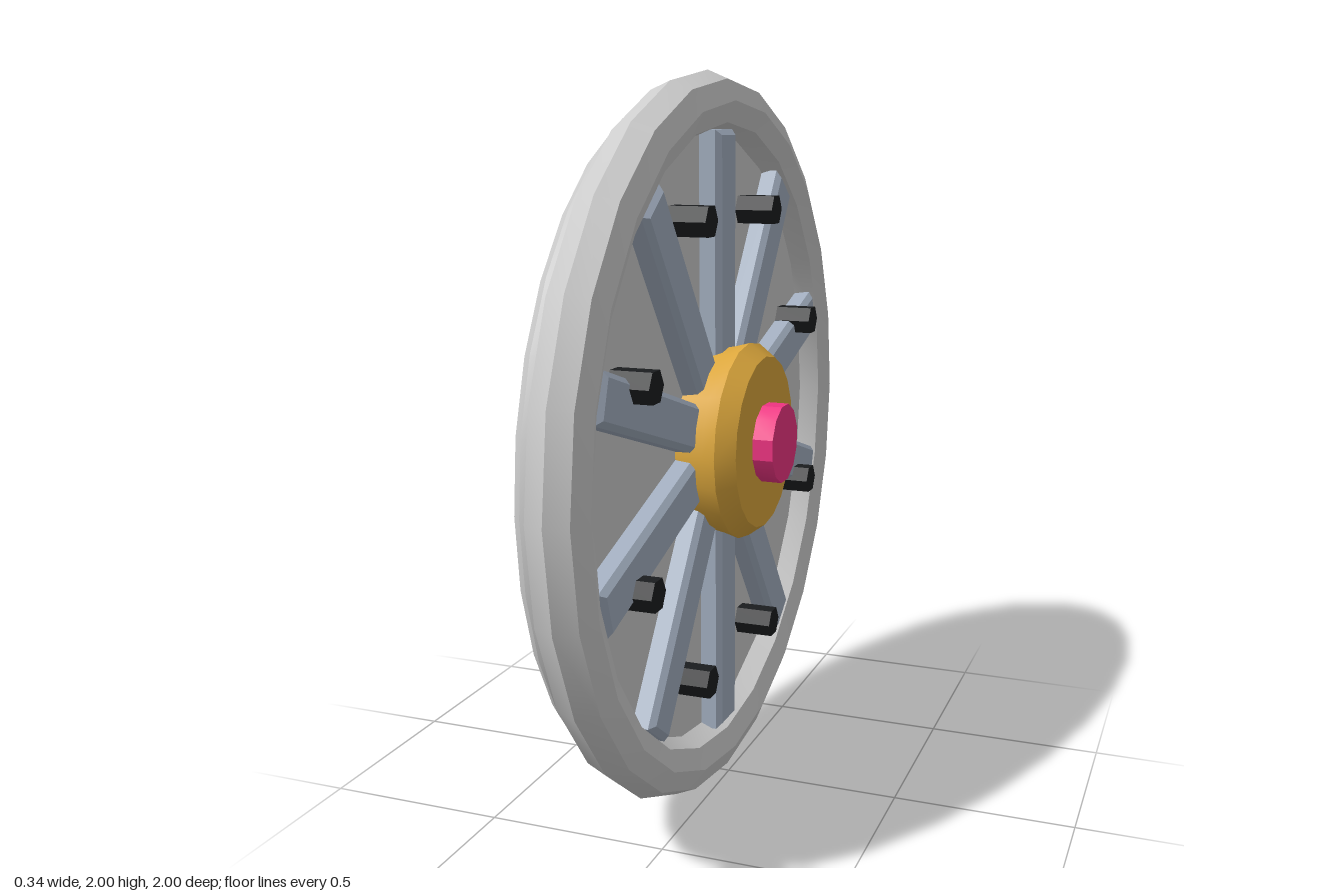
import * as THREE from 'three';
import { toCreasedNormals } from 'three/addons/utils/BufferGeometryUtils.js';

const mat = (color) => new THREE.MeshStandardMaterial({ color });

export function createModel() {
  const steel = mat(0xcccccc), blueGrey = mat(0xa3afc0), gold = mat(0xdba63c);
  const pink = mat(0xee3482), black = mat(0x1b1d1f);

  // The wheel is built facing +z, then turned so its axle points along +x
  const wheel = new THREE.Group();
  wheel.name = 'wheel';

  const add = (name, geometry, material, parent = wheel) => {
    const mesh = new THREE.Mesh(toCreasedNormals(geometry, Math.PI / 6), material);
    mesh.name = name;
    parent.add(mesh);
    return mesh;
  };
  // Turned part from [radius, depth] points, back to front
  const turned = (points, sides) =>
    new THREE.LatheGeometry(points.map(([r, d]) => new THREE.Vector2(r, d)), sides).rotateX(Math.PI / 2);

  // Rim: eight-sided ring
  add('rim', new THREE.TorusGeometry(0.92, 0.08, 8, 24), steel).position.z = -0.06;

  // Back plate with a bevelled rear edge
  add('backPlate', turned([[0, -0.17], [0.922, -0.17], [0.945, -0.145], [0.945, -0.11], [0.9, -0.06], [0, -0.06]], 32), steel);

  // Ten chamfered spokes
  const bevel = 0.015, half = 0.05;
  const outline = new THREE.Shape([
    new THREE.Vector2(-half, 0.15), new THREE.Vector2(half, 0.15),
    new THREE.Vector2(half, 0.83), new THREE.Vector2(-half, 0.83),
  ]);
  const spokeGeometry = new THREE.ExtrudeGeometry(outline, {
    depth: 0.05, bevelThickness: bevel, bevelSize: bevel, bevelSegments: 1,
  });
  const spokes = new THREE.Group();
  spokes.name = 'spokes';
  wheel.add(spokes);
  for (let i = 0; i < 10; i++) {
    const spoke = add('spoke', spokeGeometry, blueGrey, spokes);
    spoke.position.z = -0.065;
    spoke.rotation.z = (i * Math.PI) / 5;
  }

  // Eight hexagonal bolts
  const boltGeometry = new THREE.CylinderGeometry(0.045, 0.045, 0.12, 6)
    .rotateX(Math.PI / 2).rotateZ(Math.PI / 6);
  const bolts = new THREE.Group();
  bolts.name = 'bolts';
  wheel.add(bolts);
  for (let i = 0; i < 8; i++) {
    const a = ((i + 0.5) * Math.PI) / 4;
    add('bolt', boltGeometry, black, bolts).position.set(0.67 * Math.cos(a), 0.67 * Math.sin(a), -0.01);
  }

  // Hub and axle cap
  add('hub', turned([[0, -0.07], [0.245, -0.07], [0.262, 0.02], [0.273, 0.06], [0.238, 0.108], [0, 0.108]], 20), gold);
  const cap = new THREE.CylinderGeometry(0.11, 0.11, 0.075, 12).rotateX(Math.PI / 2).rotateZ(Math.PI / 12);
  add('axleCap', cap, pink).position.z = 0.1275;

  wheel.rotation.y = Math.PI / 2;
  wheel.position.y = 1;
  const model = new THREE.Group();
  model.name = 'spokedWheel';
  model.add(wheel);
  return model;
}
